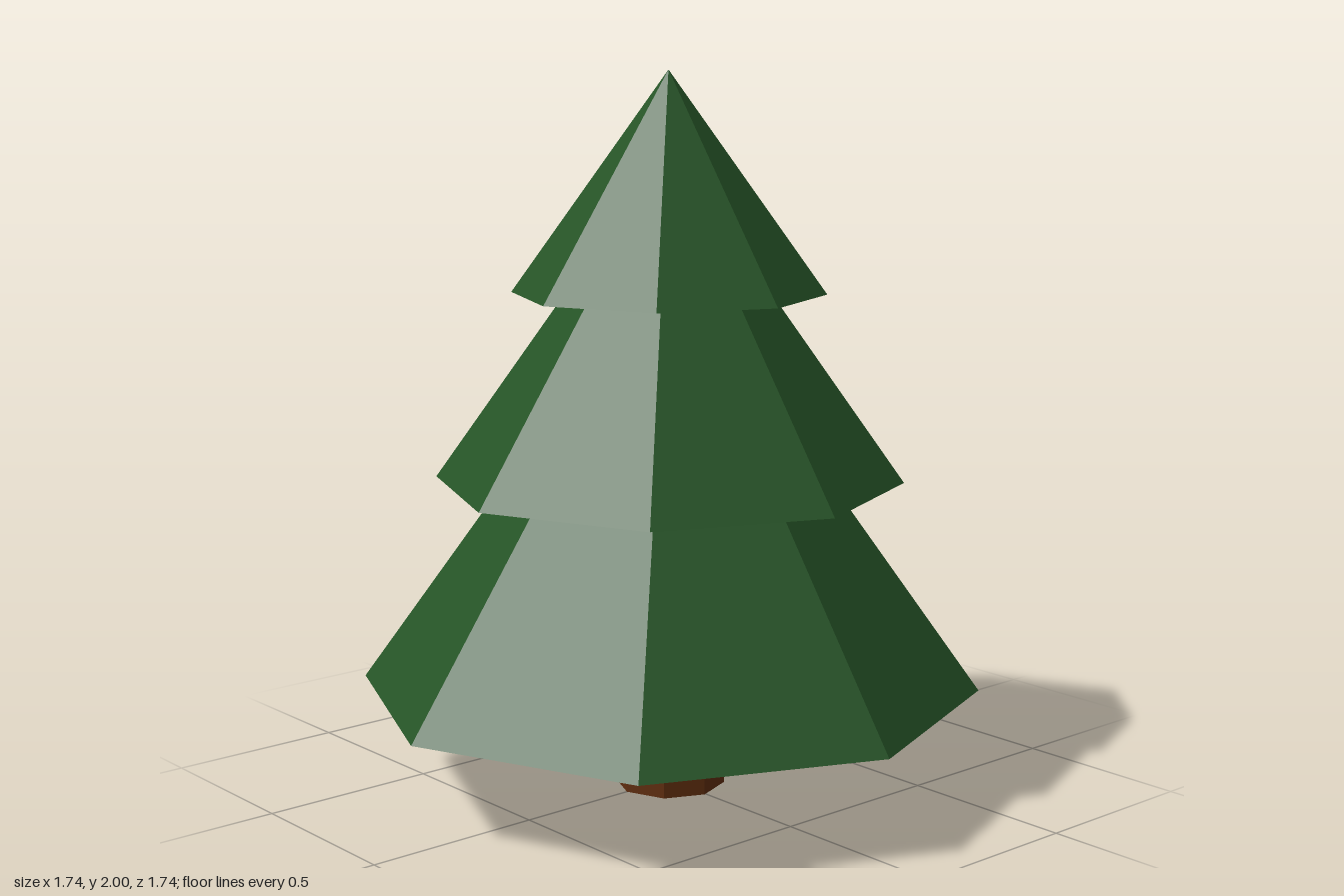
import * as THREE from 'three';

export function createModel() {
  const tree = new THREE.Group();
  tree.name = 'pineTree';

  const green = new THREE.MeshStandardMaterial({ color: 0x265427, flatShading: true });
  green.name = 'pine green';
  const brown = new THREE.MeshStandardMaterial({ color: 0x5f2d0e, flatShading: true });
  brown.name = 'bark brown';

  // Eight-sided solid standing between two heights, with a corner facing the front
  function addTier(name, topRadius, baseRadius, baseY, topY, turn, material) {
    const height = topY - baseY;
    const mesh = new THREE.Mesh(
      new THREE.CylinderGeometry(topRadius, baseRadius, height, 8),
      material
    );
    mesh.name = name;
    mesh.position.y = baseY + height / 2;
    mesh.rotation.y = turn;
    tree.add(mesh);
    return mesh;
  }

  // Trunk, reaching a little into the foliage
  const trunk = addTier('trunk', 0.155, 0.155, 0, 0.32, -0.03, brown);
  trunk.position.z = 0.005;

  // Three overlapping foliage cones
  addTier('lowerFoliage', 0, 0.87, 0.287, 1.505, -0.014, green);
  addTier('middleFoliage', 0, 0.652, 0.874, 1.795, 0, green);
  addTier('upperFoliage', 0, 0.434, 1.395, 2, 0, green);

  return tree;
}
